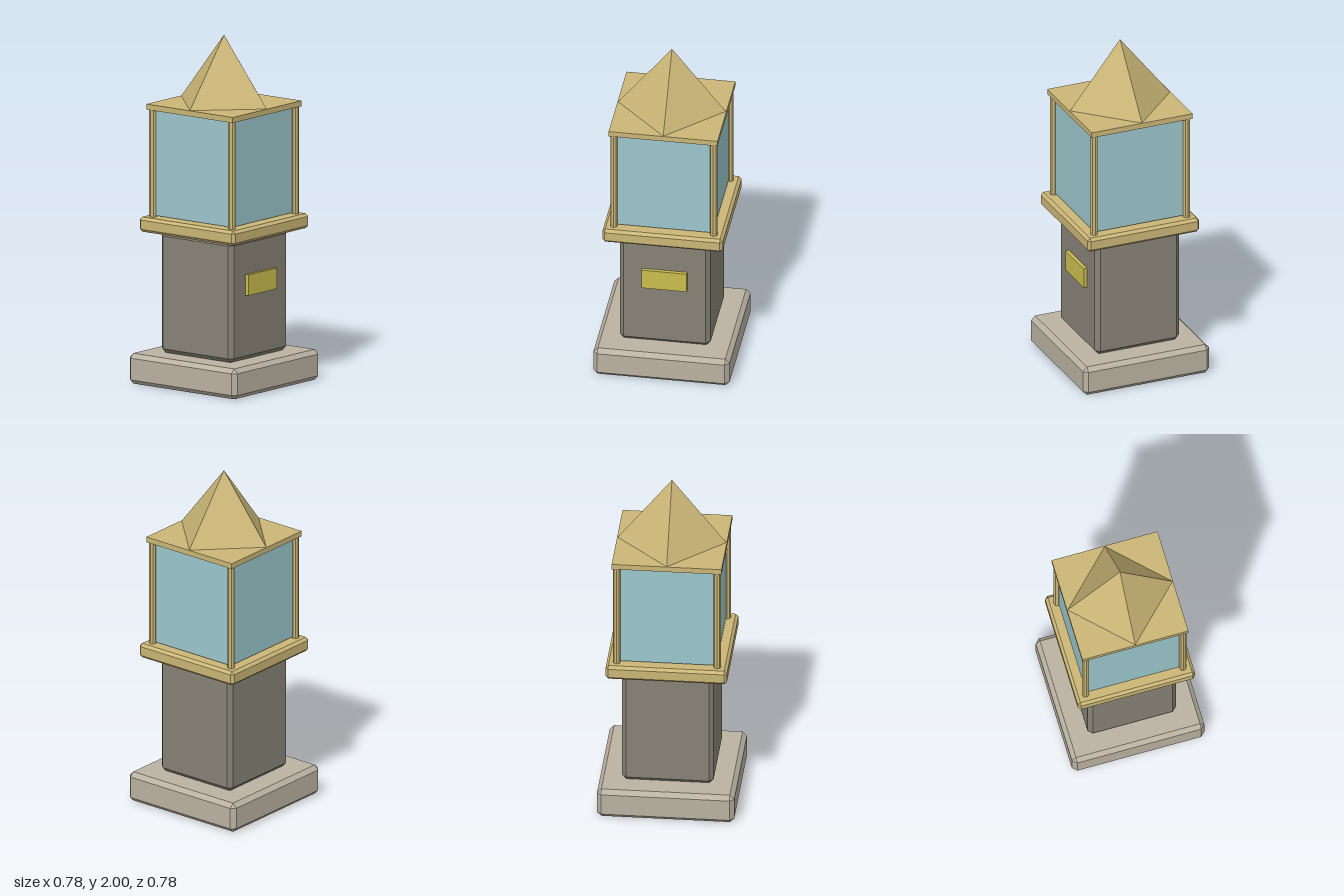
import * as THREE from 'three';
import { ConvexGeometry } from 'three/addons/geometries/ConvexGeometry.js';

const mat = (name, color) => Object.assign(new THREE.MeshStandardMaterial({ color, flatShading: true }), { name });

// Box with all edges and corners cut at 45 degrees
function chamferBox(w, h, d, c) {
  const points = [];
  for (const sx of [-1, 1]) for (const sy of [-1, 1]) for (const sz of [-1, 1]) {
    for (let axis = 0; axis < 3; axis++) {
      const half = [w / 2, h / 2, d / 2].map((v, i) => (i === axis ? v : v - c));
      points.push(new THREE.Vector3(sx * half[0], sy * half[1], sz * half[2]));
    }
  }
  return new ConvexGeometry(points);
}

export function createModel() {
  const group = new THREE.Group();
  const stone = mat('pale stone', 0xbab2a2);
  const darkStone = mat('dark stone', 0x878276);
  const brass = mat('brass', 0xcbb677);
  const glass = mat('glass', 0x9bc6cc);
  const plaqueGold = mat('plaque gold', 0xcabd4e);

  const add = (name, geometry, material, x, y, z) => {
    const mesh = new THREE.Mesh(geometry, material);
    mesh.name = name;
    mesh.position.set(x, y, z);
    group.add(mesh);
    return mesh;
  };

  // Plinth, pillar and plaque
  add('base', chamferBox(0.78, 0.175, 0.78, 0.025), stone, 0, 0.0875, 0);
  add('pillar', chamferBox(0.52, 0.7, 0.52, 0.025), darkStone, 0, 0.525, 0);
  add('plaque', new THREE.BoxGeometry(0.26, 0.12, 0.03), plaqueGold, 0, 0.61, 0.265);

  // Lantern: platform, inner floor, glass and corner posts
  add('platform', chamferBox(0.69, 0.085, 0.69, 0.016), brass, 0, 0.9175, 0);
  add('innerFloor', new THREE.BoxGeometry(0.43, 0.02, 0.43), brass, 0, 0.963, 0);
  add('glassCase', new THREE.BoxGeometry(0.56, 0.614, 0.56), glass, 0, 1.274, 0);
  const postGeometry = new THREE.CylinderGeometry(0.021, 0.021, 0.63, 8);
  for (const x of [-0.286, 0.286]) for (const z of [-0.286, 0.286]) {
    add('cornerPost', postGeometry, brass, x, 1.27, z);
  }

  // Roof slab with a pyramid turned 45 degrees to it
  add('roofSlab', new THREE.BoxGeometry(0.624, 0.032, 0.624), brass, 0, 1.594, 0);
  add('roofPyramid', new THREE.ConeGeometry(0.312, 0.394, 4), brass, 0, 1.803, 0);

  return group;
}
